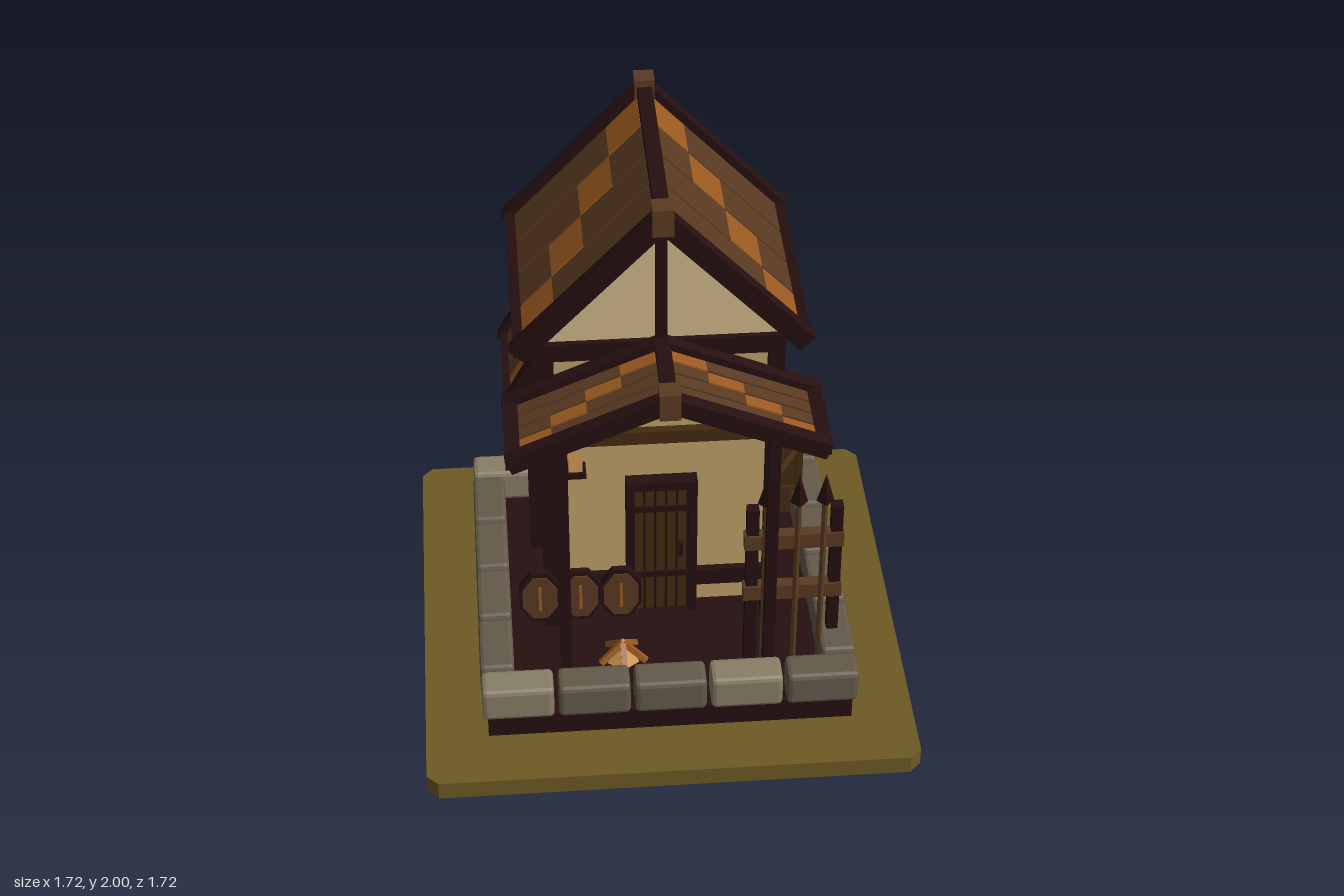
import * as THREE from 'three';
import { RoundedBoxGeometry } from 'three/addons/geometries/RoundedBoxGeometry.js';

const mat = (name, color) => {
  const m = new THREE.MeshStandardMaterial({ color, flatShading: true });
  m.name = name;
  return m;
};
const M = {
  grass: mat('olive ground', 0x6d5a23),
  timber: mat('dark timber', 0x260f10),
  stone: mat('grey stone', 0x645a4a),
  paleStone: mat('pale stone', 0x887e66),
  plaster: mat('tan plaster', 0xbf9f69),
  cream: mat('cream plaster', 0xcfb988),
  wood: mat('brown wood', 0x5a3a22),
  rust: mat('rust shingle', 0x9c5a20),
  deepWood: mat('deep brown wood', 0x422a10),
  glow: mat('warm glow', 0xd09a58),
};
const V = (x, y, z) => new THREE.Vector3(x, y, z);

function add(parent, name, geo, material, x = 0, y = 0, z = 0) {
  const m = new THREE.Mesh(geo, material);
  m.name = name;
  m.position.set(x, y, z);
  parent.add(m);
  return m;
}
// Box given by its limits on each axis
const span = (p, name, material, x0, x1, y0, y1, z0, z1) =>
  add(p, name, new THREE.BoxGeometry(x1 - x0, y1 - y0, z1 - z0), material,
    (x0 + x1) / 2, (y0 + y1) / 2, (z0 + z1) / 2);
// Box running from a to b
function beam(p, name, material, a, b, w, d) {
  const m = add(p, name, new THREE.BoxGeometry(w, a.distanceTo(b), d), material);
  m.position.copy(a).add(b).multiplyScalar(0.5);
  m.quaternion.setFromUnitVectors(V(0, 1, 0), b.clone().sub(a).normalize());
  return m;
}
function group(parent, name) {
  const g = new THREE.Group();
  g.name = name;
  parent.add(g);
  return g;
}
// Triangular prism closing a gable
function prism(p, name, material, x, half, y0, y1, z0, z1) {
  const s = new THREE.Shape([new THREE.Vector2(-half, y0), new THREE.Vector2(half, y0), new THREE.Vector2(0, y1)]);
  add(p, name, new THREE.ExtrudeGeometry(s, { depth: z1 - z0, bevelEnabled: false }), material, x, 0, z0);
}

// Pitched roof with its ridge along z, from zf (front) to zb (back)
function pitchedRoof(parent, name, { x, ridge, half, drop, zf, zb, board, caps }) {
  const g = group(parent, name);
  const at = (s, t, z) => V(x + s * half * t, ridge - drop * t, z);
  const strips = 4, a = zf - 0.03, b = zb + 0.03, w = (a - b) / strips;
  for (const s of [-1, 1]) {
    for (const z of [zf, zb]) beam(g, 'bargeBoard', M.timber, at(s, 0, z), at(s, 1, z), board, 0.05);
    const e = at(s, 0.97, 0);
    span(g, 'eaveBeam', M.timber, e.x - 0.025, e.x + 0.025, e.y - 0.035, e.y + 0.025, zb, zf);
    // Shingle rows, with the rust patch climbing row by row
    for (let i = 0; i < strips; i++) for (let k = 0; k < 4; k++) {
      const z = a - (i + 0.5) * w, t = 0.94 - k * 0.225;
      beam(g, 'shingle', k === i ? M.rust : M.wood, at(s, t, z), at(s, t - 0.225, z), 0.022, w - 0.009);
    }
  }
  span(g, 'ridgeBeam', M.timber, x - 0.026, x + 0.026, ridge - 0.04, ridge + 0.03, zb, zf);
  for (const z of caps) span(g, 'ridgeCap', M.wood, x - 0.035, x + 0.035, ridge - 0.045, ridge + 0.055, z - 0.037, z + 0.037);
}

function buildBase(root) {
  const c = 0.82, r = 0.86;
  const pts = [[-c, -r], [c, -r], [r, -c], [r, c], [c, r], [-c, r], [-r, c], [-r, -c]];
  const ground = new THREE.ExtrudeGeometry(new THREE.Shape(pts.map(p => new THREE.Vector2(...p))), { depth: 0.07, bevelEnabled: false });
  add(root, 'ground', ground.rotateX(-Math.PI / 2), M.grass);
  span(root, 'plinth', M.timber, -0.64, 0.64, 0.07, 0.16, -0.64, 0.64);
  // Ring of bevelled stones
  const ring = group(root, 'stoneRing');
  const stone = (w, d, x, z, m) => {
    const geo = new RoundedBoxGeometry(w, 0.13, d, 1, 0.016);
    geo.computeVertexNormals();
    add(ring, 'stone', geo, m, x, 0.225, z);
  };
  for (const s of [-1, 1]) {
    for (let i = 0; i < 5; i++) stone(0.25, 0.12, -0.532 + i * 0.266, s * 0.6, i % 3 ? M.stone : M.paleStone);
    for (let i = 0; i < 4; i++) stone(0.12, 0.258, s * 0.6, -0.402 + i * 0.268, M.stone);
  }
}

function buildHouse(root) {
  const g = group(root, 'house');
  span(g, 'walls', M.plaster, -0.385, 0.385, 0.25, 1.42, -0.495, 0.175);
  prism(g, 'gable', M.cream, 0, 0.45, 1.4, 1.885, -0.5, 0.18);
  for (const s of [-1, 1]) {
    for (const z of [0.175, -0.497]) span(g, 'cornerPost', M.timber, s * 0.39 - 0.028, s * 0.39 + 0.028, 0.17, 1.4, z - 0.027, z + 0.027);
    for (const y of [0.335, 1.36]) span(g, 'sideBeam', M.timber, s * 0.387 - 0.022, s * 0.387 + 0.022, y, y + 0.07, -0.5, 0.18);
  }
  for (const z of [0.18, -0.5]) {
    for (const y of [0.335, 1.36]) span(g, 'crossBeam', M.timber, -0.42, 0.42, y, y + 0.07, z - 0.02, z + 0.02);
    span(g, 'kingPost', M.timber, -0.02, 0.02, 1.42, 1.9, z - 0.02, z + 0.02);
  }
  beam(g, 'sideBrace', M.deepWood, V(0.388, 0.4, 0.07), V(0.388, 1.34, -0.11), 0.025, 0.025);
  beam(g, 'sideBrace', M.deepWood, V(-0.388, 0.4, 0.1), V(-0.388, 1.25, -0.17), 0.025, 0.025);
  pitchedRoof(g, 'mainRoof', { x: 0, ridge: 1.94, half: 0.485, drop: 0.51, zf: 0.235, zb: -0.57, board: 0.07, caps: [0.24, -0.57] });

  // Side window with crossed bars
  const win = group(g, 'window');
  span(win, 'pane', M.glow, 0.385, 0.394, 0.74, 1.06, -0.29, -0.11);
  for (const z of [-0.285, -0.115]) span(win, 'frameSide', M.timber, 0.385, 0.455, 0.72, 1.075, z - 0.018, z + 0.018);
  for (const y of [0.738, 1.057]) span(win, 'frameRail', M.timber, 0.385, 0.455, y - 0.018, y + 0.018, -0.3, -0.1);
  for (const s of [-1, 1]) beam(win, 'crossBar', M.timber, V(0.4, 0.75, -0.2 + s * 0.075), V(0.4, 1.05, -0.2 - s * 0.075), 0.014, 0.014);

  // Planked door
  const door = group(g, 'door');
  span(door, 'doorBack', M.timber, -0.1, 0.1, 0.24, 0.82, 0.18, 0.205);
  for (let i = 0; i < 5; i++) span(door, 'doorPlank', M.deepWood, -0.094 + i * 0.038, -0.064 + i * 0.038, 0.25, 0.815, 0.2, 0.215);
  for (const s of [-1, 1]) span(door, 'doorJamb', M.timber, s * 0.11 - 0.015, s * 0.11 + 0.015, 0.24, 0.84, 0.18, 0.232);
  span(door, 'doorLintel', M.timber, -0.125, 0.125, 0.805, 0.84, 0.18, 0.232);
  for (const y of [0.4, 0.7]) span(door, 'doorBand', M.timber, -0.1, 0.1, y, y + 0.025, 0.21, 0.22);
  span(door, 'doorHandle', M.timber, 0.06, 0.075, 0.5, 0.56, 0.21, 0.232);
}

function buildPorch(root) {
  const g = group(root, 'porch');
  pitchedRoof(g, 'porchRoof', { x: 0, ridge: 1.425, half: 0.53, drop: 0.225, zf: 0.53, zb: 0.22, board: 0.06, caps: [0.537] });
  for (const s of [-1, 1]) span(g, 'porchPost', M.timber, s * 0.355 - 0.02, s * 0.355 + 0.02, 0.16, 1.26, 0.472, 0.508);
  for (const z of [0.485, 0.262]) span(g, 'porchTie', M.deepWood, -0.35, 0.35, 1.23, 1.28, z - 0.015, z + 0.015);

  // Hanging lantern
  const l = group(g, 'lantern');
  l.position.set(-0.3, 0, 0.26);
  span(l, 'lanternBase', M.timber, -0.036, 0.036, 0.925, 0.95, -0.032, 0.032);
  span(l, 'lanternGlass', M.glow, -0.024, 0.024, 0.95, 1.1, -0.024, 0.024);
  span(l, 'lanternLid', M.timber, -0.036, 0.036, 1.095, 1.12, -0.032, 0.032);
  add(l, 'lanternCap', new THREE.ConeGeometry(0.036, 0.08, 6), M.timber, 0, 1.155, 0);
  span(l, 'lanternHook', M.timber, -0.006, 0.006, 1.17, 1.27, -0.006, 0.006);

  // Eight-sided shields
  for (const x of [-0.44, -0.3, -0.16]) {
    const s = group(g, 'shield');
    s.position.set(x, 0.55, 0.455);
    s.scale.set(0.7, 1.05, 1);
    const disc = (name, r, h, m, z) => add(s, name, new THREE.CylinderGeometry(r, r, h, 8).rotateY(Math.PI / 8).rotateX(Math.PI / 2), m, 0, 0, z);
    disc('shieldRim', 0.11, 0.024, M.timber, 0);
    disc('shieldFace', 0.093, 0.012, M.wood, 0.012);
    span(s, 'shieldStripe', M.rust, -0.007, 0.007, -0.05, 0.05, 0.017, 0.023);
  }

  // Campfire
  const f = group(g, 'campfire');
  f.position.set(-0.15, 0.16, 0.38);
  add(f, 'flame', new THREE.ConeGeometry(0.06, 0.1, 5), M.glow, 0, 0.05, 0);
  for (let i = 0; i < 5; i++) {
    const a = i * Math.PI * 0.4 + 0.3;
    beam(f, 'log', M.rust, V(Math.cos(a) * 0.085, 0.01, Math.sin(a) * 0.085), V(0, 0.08, 0), 0.02, 0.02);
  }
}

function buildRack(root) {
  const g = group(root, 'spearRack');
  span(g, 'rackPost', M.timber, 0.278, 0.32, 0.16, 0.85, 0.38, 0.42);
  span(g, 'rackPost', M.timber, 0.57, 0.61, 0.28, 0.85, 0.38, 0.42);
  for (const y of [0.45, 0.68]) span(g, 'rackRail', M.wood, 0.27, 0.615, y, y + 0.06, 0.385, 0.428);
  for (const x of [0.34, 0.45, 0.54]) {
    add(g, 'spearShaft', new THREE.CylinderGeometry(0.011, 0.011, 0.74, 6), M.wood, x, 0.55, 0.442);
    add(g, 'spearTip', new THREE.ConeGeometry(0.031, 0.115, 4), M.timber, x, 0.96, 0.442);
  }
}

function buildAnnex(root) {
  const g = group(root, 'annex');
  span(g, 'annexWalls', M.plaster, -0.435, -0.045, 0.25, 0.86, -0.595, -0.26);
  prism(g, 'annexGable', M.cream, -0.24, 0.225, 0.85, 1.275, -0.6, -0.26);
  for (const x of [-0.43, -0.05]) for (const z of [-0.595, -0.262])
    span(g, 'annexPost', M.timber, x - 0.024, x + 0.024, 0.17, 0.86, z - 0.024, z + 0.024);
  for (const y of [0.335, 0.815]) {
    span(g, 'annexBackBeam', M.timber, -0.45, -0.03, y, y + 0.06, -0.618, -0.58);
    for (const x of [-0.43, -0.05]) span(g, 'annexSideBeam', M.timber, x - 0.02, x + 0.02, y, y + 0.06, -0.6, -0.26);
  }
  span(g, 'annexKingPost', M.timber, -0.258, -0.222, 0.86, 1.3, -0.618, -0.58);
  beam(g, 'annexBrace', M.deepWood, V(-0.437, 0.38, -0.38), V(-0.437, 0.83, -0.5), 0.022, 0.022);
  pitchedRoof(g, 'annexRoof', { x: -0.24, ridge: 1.35, half: 0.275, drop: 0.505, zf: -0.235, zb: -0.66, board: 0.06, caps: [-0.655] });
}

function buildCrate(root) {
  const g = group(root, 'crate');
  span(g, 'crateBody', M.deepWood, 0.425, 0.57, 0.17, 0.51, -0.53, -0.37);
  for (const z of [-0.535, -0.365]) {
    for (const x of [0.435, 0.565]) span(g, 'crateStile', M.deepWood, x - 0.013, x + 0.013, 0.17, 0.52, z - 0.009, z + 0.009);
    for (const y of [0.28, 0.495]) span(g, 'crateRail', M.deepWood, 0.425, 0.575, y, y + 0.025, z - 0.009, z + 0.009);
    beam(g, 'crateBrace', M.wood, V(0.445, 0.3, z), V(0.555, 0.49, z), 0.022, 0.014);
  }
}

export function createModel() {
  const root = new THREE.Group();
  root.name = 'timberCottage';
  [buildBase, buildHouse, buildPorch, buildRack, buildAnnex, buildCrate].forEach(build => build(root));
  return root;
}
